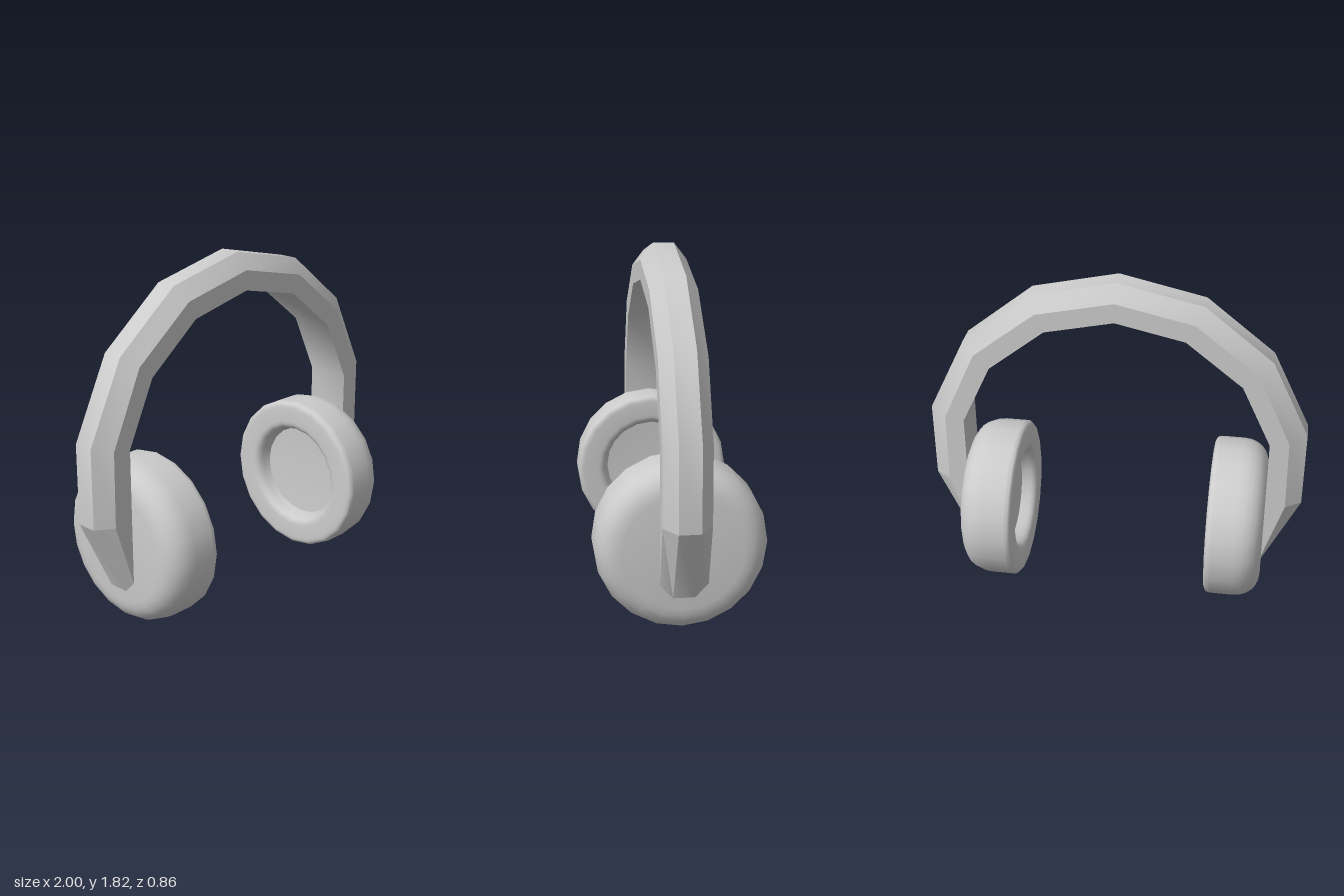
import * as THREE from 'three';
import { toCreasedNormals } from 'three/addons/utils/BufferGeometryUtils.js';

const material = new THREE.MeshStandardMaterial({ color: 0xcccccc });

// Half of the arch, from strap joint to crown: [x, y] of the outer face, bevel edge and inner face
const ARCH = [
  [[1, 0.6], [0.915, 0.605], [0.81, 0.61]],
  [[1, 1.02], [0.91, 1.0], [0.81, 0.985]],
  [[0.8, 1.435], [0.735, 1.385], [0.655, 1.315]],
  [[0.445, 1.72], [0.405, 1.645], [0.36, 1.55]],
  [[0, 1.82], [0, 1.735], [0, 1.63]],
];
// Strap tip, lying against the cup
const TIP = [[0.81, 0.2], [0.81, 0.27], [0.81, 0.35]];

const mirror = (section) => section.map(([x, y]) => [-x, y]);

// Skins six-sided bevelled sections, ordered from -x over the crown to +x
function loft(sections) {
  const positions = [], index = [];
  for (const [o, m, i] of sections) {
    const ring = [[o, 0.055], [o, -0.055], [m, -0.12], [i, -0.12], [i, 0.12], [m, 0.12]];
    for (const [p, z] of ring) positions.push(p[0], p[1], z);
  }
  for (let k = 0; k < sections.length - 1; k++) {
    for (let j = 0; j < 6; j++) {
      const a = k * 6 + j, d = k * 6 + (j + 1) % 6;
      index.push(a, a + 6, d + 6, a, d + 6, d);
    }
  }
  const geometry = new THREE.BufferGeometry();
  geometry.setAttribute('position', new THREE.Float32BufferAttribute(positions, 3));
  geometry.setIndex(index);
  return toCreasedNormals(geometry, 0.55);
}

// Cup with rounded shoulders and a dished recess, turned about its axis
function cupGeometry() {
  const path = new THREE.Path();
  path.moveTo(0, 0.615);
  path.lineTo(0.255, 0.6);
  path.lineTo(0.265, 0.56);
  path.quadraticCurveTo(0.275, 0.515, 0.315, 0.515);
  path.lineTo(0.395, 0.515);
  path.quadraticCurveTo(0.432, 0.515, 0.432, 0.55);
  path.lineTo(0.432, 0.67);
  path.bezierCurveTo(0.432, 0.75, 0.38, 0.81, 0.3, 0.81);
  path.lineTo(0, 0.81);
  const points = path.getPoints(6);
  points[0].x = points[points.length - 1].x = 0;
  const lathe = new THREE.LatheGeometry(points, 20);
  lathe.rotateZ(-Math.PI / 2);
  return toCreasedNormals(lathe, 0.6);
}

export function createModel() {
  const model = new THREE.Group();
  const add = (name, geometry) => {
    const mesh = new THREE.Mesh(geometry, material);
    mesh.name = name;
    model.add(mesh);
    return mesh;
  };

  // Headband arch and the tapered straps below it
  const rightHalf = ARCH.slice(0, -1).map(mirror);
  add('headband', loft([...rightHalf, ...ARCH.slice().reverse()]));
  add('leftStrap', loft([ARCH[0], TIP]));
  add('rightStrap', loft([mirror(TIP), mirror(ARCH[0])]));

  // Ear cups, recess facing inwards
  const cup = cupGeometry();
  add('leftEarCup', cup).position.y = 0.435;
  const right = add('rightEarCup', cup);
  right.position.y = 0.435;
  right.rotation.y = Math.PI;

  return model;
}
